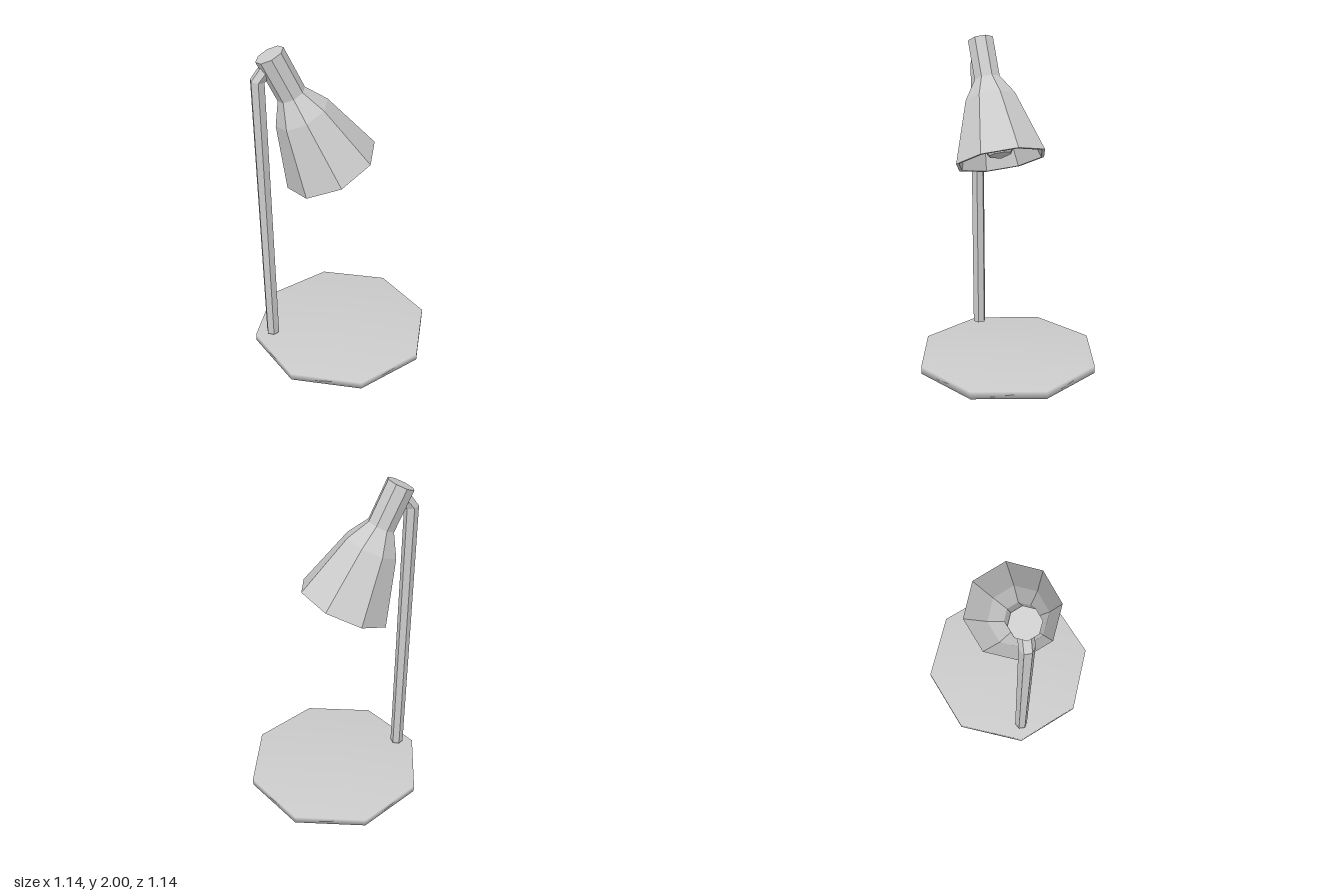
import * as THREE from 'three';
import { mergeVertices } from 'three/addons/utils/BufferGeometryUtils.js';

const flat = new THREE.MeshStandardMaterial({ color: 0xcccccc, flatShading: true });
const smooth = new THREE.MeshStandardMaterial({ color: 0xcccccc });

function part(name, geometry, material = flat) {
  const mesh = new THREE.Mesh(geometry, material);
  mesh.name = name;
  return mesh;
}

// Eight-sided turned part; profile is [radius, y], outer wall running upwards
function turned(name, profile) {
  const points = profile.map(([r, y]) => new THREE.Vector2(r, y));
  return part(name, new THREE.LatheGeometry(points, 8));
}

// Octagonal foot plate with normals shared across its edges
function makeBase() {
  let geometry = new THREE.CylinderGeometry(0.572, 0.572, 0.047, 8);
  geometry.deleteAttribute('normal');
  geometry.deleteAttribute('uv');
  geometry = mergeVertices(geometry);
  geometry.computeVertexNormals();
  const base = part('base', geometry, smooth);
  base.position.y = 0.0235;
  return base;
}

// Hexagonal post whose top section bends over towards the lamp head
function makePost() {
  const rings = [
    { x: -0.46, y: 0.075, tilt: 0 },
    { x: -0.46, y: 1.825, tilt: -0.15 },
    { x: -0.395, y: 1.905, tilt: -0.68 },
  ];
  const geometry = new THREE.CylinderGeometry(0.042, 0.042, 2, 6, 2);
  const p = geometry.attributes.position;
  for (let i = 0; i < p.count; i++) {
    const ring = rings[Math.round(p.getY(i)) + 1];
    const x = p.getX(i);
    p.setXY(i, ring.x + x * Math.cos(ring.tilt), ring.y + x * Math.sin(ring.tilt));
  }
  geometry.computeVertexNormals();
  return part('post', geometry);
}

// Tilted head, built downwards from the top of its neck
function makeHead() {
  const head = new THREE.Group();
  head.name = 'lampHead';
  head.add(
    turned('neck', [[0, -0.255], [0.084, -0.255], [0.084, 0], [0, 0]]),
    // Double-walled shade: inner wall down, rim, outer wall up
    turned('shade', [
      [0.068, -0.262], [0.147, -0.387], [0.268, -0.769],
      [0.287, -0.769], [0.163, -0.383], [0.084, -0.255],
    ]),
    turned('bulb', [
      [0, -0.758], [0.07, -0.735], [0.118, -0.66],
      [0.112, -0.59], [0.055, -0.5], [0.05, -0.25],
    ]),
  );
  head.position.set(-0.388, 1.966, 0);
  head.rotation.z = THREE.MathUtils.degToRad(25);
  return head;
}

export function createModel() {
  const lamp = new THREE.Group();
  lamp.name = 'deskLamp';
  // Post and head sit slightly forward of the base centre
  const upper = new THREE.Group();
  upper.name = 'postAndHead';
  upper.position.z = 0.016;
  upper.add(makePost(), makeHead());
  lamp.add(makeBase(), upper);
  return lamp;
}
